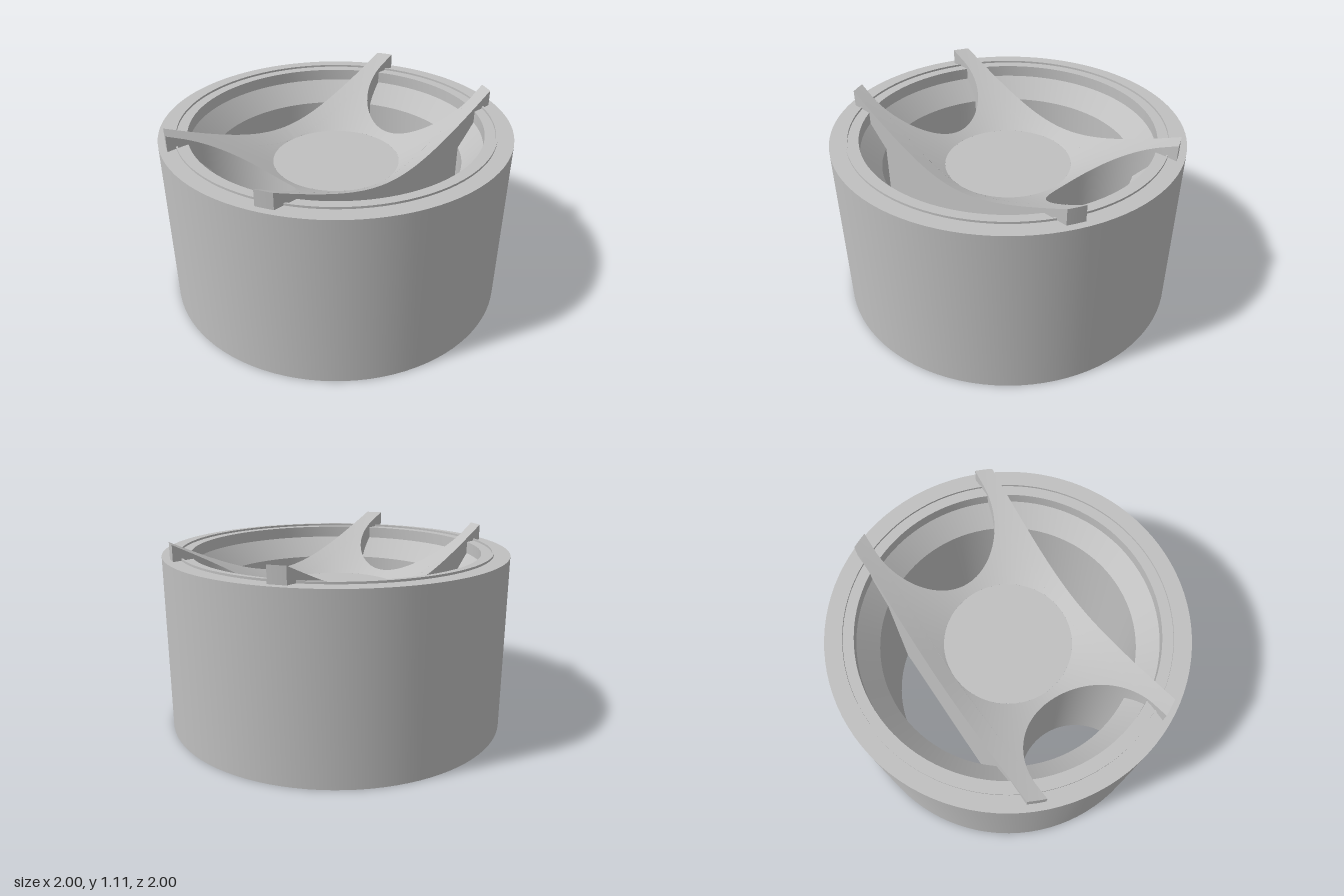
import * as THREE from 'three';
import { toCreasedNormals } from 'three/addons/utils/BufferGeometryUtils.js';

const DISC = 0.37;      // flat centre radius, also the scallop radius
const SCALLOP_Z = 0.8;  // scallop centre
const HALF_W = 0.46;    // half width of the bridge
const TIP_R = 0.96;     // radius of the arm tips
const FLOOR = 0.79;     // height of the flat centre

const dishY = (x, z) => FLOOR + 0.547 * Math.max(0, Math.hypot(x, z) - DISC);
const chord = (r, x) => Math.sqrt(Math.max(0, r * r - x * x));
const lerp = THREE.MathUtils.lerp;

// Surface patch; its front faces along dP/du x dP/dv
function patch(nu, nv, f) {
  const pos = [], idx = [];
  for (let i = 0; i <= nu; i++) {
    for (let j = 0; j <= nv; j++) {
      pos.push(...f(i / nu, j / nv));
      if (i < nu && j < nv) {
        const a = i * (nv + 1) + j, b = a + nv + 1;
        idx.push(a, b, a + 1, b, b + 1, a + 1);
      }
    }
  }
  const g = new THREE.BufferGeometry();
  g.setAttribute('position', new THREE.Float32BufferAttribute(pos, 3));
  g.setIndex(idx);
  g.computeVertexNormals();
  return g;
}

export function createModel() {
  const grey = new THREE.MeshStandardMaterial({ color: 0xc0c0c0 });
  grey.name = 'light grey';
  const model = new THREE.Group();
  model.name = 'ringWithBridge';

  const add = (parent, name, geometry) => {
    const mesh = new THREE.Mesh(geometry, grey);
    mesh.name = name;
    parent.add(mesh);
    return mesh;
  };

  // Outer ring with a thin bead on the rim and a chamfered seat inside
  const profile = [
    [0.73, 0], [1, 0], [1, 1.02], [0.91, 1.02], [0.91, 1.032], [0.9, 1.032],
    [0.9, 1.02], [0.84, 1.02], [0.84, 0.95], [0.73, 0.83], [0.73, 0],
  ].map(([r, y]) => new THREE.Vector2(r, y));
  add(model, 'ring', toCreasedNormals(new THREE.LatheGeometry(profile, 96), 0.5));

  // Flat centre of the dish
  const disc = add(model, 'dishFloor', new THREE.CircleGeometry(DISC, 64));
  disc.rotation.x = -Math.PI / 2;
  disc.position.y = FLOOR;

  // Half of the bridge, repeated by a half turn
  const scallop = (x) => SCALLOP_Z - chord(DISC, x);
  const tip = (x) => chord(TIP_R, x);
  const midX = (t) => DISC * Math.sin((t - 0.5) * Math.PI);

  for (const [name, turn] of [['frontBridge', 0], ['backBridge', Math.PI]]) {
    const half = new THREE.Group();
    half.name = name;
    half.rotation.y = turn;
    model.add(half);

    // Middle web: conical top, scalloped end and flat base
    add(half, 'webTop', patch(10, 48, (u, v) => {
      const x = midX(v), z = lerp(chord(DISC, x), scallop(x), u);
      return [x, dishY(x, z), z];
    }));
    add(half, 'webScallop', patch(48, 1, (u, v) => {
      const x = midX(u), z = scallop(x);
      return [x, v * dishY(x, z), z];
    }));
    add(half, 'webBase', patch(48, 1, (u, v) => {
      const x = midX(u);
      return [x, 0, v * scallop(x)];
    }));

    // Arms on both sides
    for (const side of [-1, 1]) {
      const arm = new THREE.Group();
      arm.name = side > 0 ? 'leftArm' : 'rightArm';
      half.add(arm);
      const x0 = side > 0 ? DISC : -HALF_W, x1 = side > 0 ? HALF_W : -DISC;

      add(arm, 'armTop', patch(24, 4, (u, v) => {
        const x = lerp(x0, x1, v), z = u * tip(x);
        return [x, dishY(x, z), z];
      }));
      add(arm, 'armTip', patch(4, 1, (u, v) => {
        const x = lerp(x0, x1, u), z = tip(x);
        return [x, v * dishY(x, z), z];
      }));
      add(arm, 'armBase', patch(4, 1, (u, v) => {
        const x = lerp(x0, x1, u);
        return [x, 0, v * tip(x)];
      }));

      // Upright walls along z, facing +x or -x
      const wall = (label, x, zStart, facing) => {
        const point = (s, h) => {
          const z = lerp(zStart, tip(x), s);
          return [x, h * dishY(x, z), z];
        };
        add(arm, label, facing > 0
          ? patch(1, 24, (u, v) => point(v, u))
          : patch(24, 1, (u, v) => point(u, v)));
      };
      wall('armOuterSide', side * HALF_W, 0, side);
      wall('armInnerSide', side * DISC, SCALLOP_Z, -side);
    }
  }
  return model;
}
